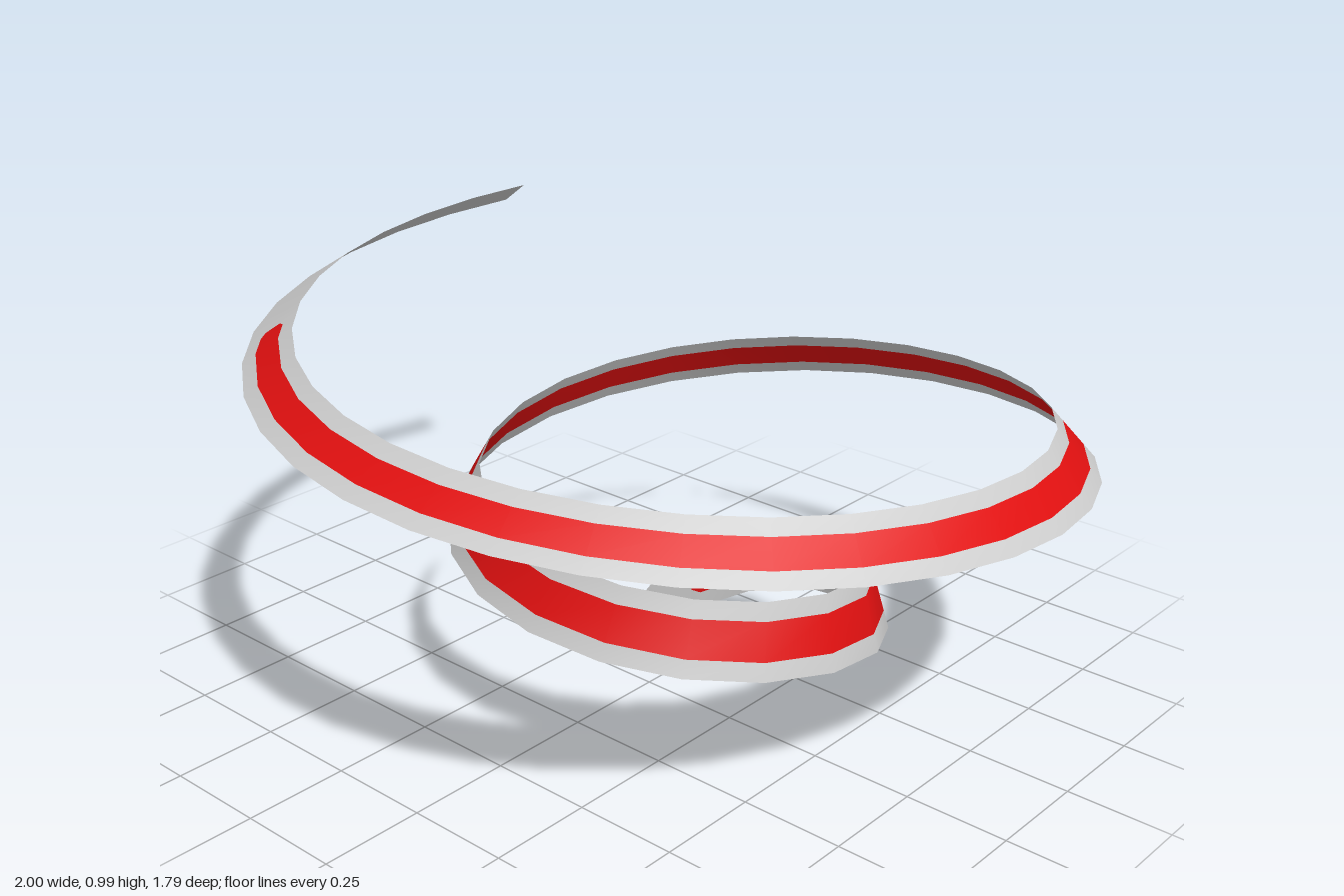
import * as THREE from 'three';

const SEGMENTS = 50;
const PITCH = 0.415 / (2 * Math.PI); // radius gained per radian
const R_START = 0.201, R_END = 1.069;
const STRIPE_START = 1.2, STRIPE_END = 43.6; // in segments along the ribbon
const lerp = THREE.MathUtils.lerp;

// Ribbon corner at segment joint i; v = 0 is the low outer edge, v = 1 the high inner edge
function joint(i, v) {
  const r = Math.sqrt(lerp(R_START ** 2, R_END ** 2, i / SEGMENTS)); // equal arc lengths
  const t = (r - R_START) / (R_END - R_START);
  const phi = (r - 0.216) / PITCH;
  const tilt = THREE.MathUtils.degToRad(lerp(6, 60, t));
  const width = lerp(0.186, 0.136, t);
  const k = 0.5 - v;
  const radius = r + k * width * Math.sin(tilt);
  const skew = k * 0.026 * (1 - t); // cross-section leans back along the climb
  return new THREE.Vector3(
    0.11 - radius * Math.cos(phi) + skew * Math.sin(phi),
    lerp(0.097, 0.956, t) - k * width * Math.cos(tilt),
    -0.105 - radius * Math.sin(phi) - skew * Math.cos(phi)
  );
}

// Point on the faceted ribbon at any position u along it
function ribbonPoint(u, v) {
  const i = Math.min(Math.floor(u), SEGMENTS - 1);
  return joint(i, v).lerp(joint(i + 1, v), u - i);
}

// Strip of ribbon between two edges given as functions of u
function strip(name, u0, u1, low, high, material) {
  const stops = [u0];
  if (u0 === STRIPE_START) stops.push(u0 + 0.12);
  for (let i = Math.floor(u0) + 1; i < u1; i++) stops.push(i);
  if (u1 === STRIPE_END) stops.push(u1 - 0.12);
  stops.push(u1);
  stops.sort((a, b) => a - b);

  const positions = [], index = [];
  stops.forEach((u, n) => {
    positions.push(...ribbonPoint(u, low(u)).toArray(), ...ribbonPoint(u, high(u)).toArray());
    if (n > 0) {
      const a = 2 * n - 2;
      index.push(a, a + 1, a + 2, a + 1, a + 3, a + 2);
    }
  });
  const geometry = new THREE.BufferGeometry();
  geometry.setAttribute('position', new THREE.Float32BufferAttribute(positions, 3));
  geometry.setIndex(index);
  geometry.computeVertexNormals();
  const mesh = new THREE.Mesh(geometry, material);
  mesh.name = name;
  return mesh;
}

export function createModel() {
  const grey = new THREE.MeshStandardMaterial({ color: 0xcccccc, side: THREE.DoubleSide });
  grey.name = 'light grey';
  const red = new THREE.MeshStandardMaterial({ color: 0xe01010, side: THREE.DoubleSide });
  red.name = 'red';

  // Half width of the stripe, with clipped corners at both ends
  const half = (u) => {
    const toEnd = Math.min(u - STRIPE_START, STRIPE_END - u);
    return lerp(0.26, 0.22, u / SEGMENTS) * lerp(0.65, 1, Math.min(toEnd / 0.12, 1));
  };
  const bottom = () => 0, top = () => 1;
  const stripeLow = (u) => 0.5 - half(u), stripeHigh = (u) => 0.5 + half(u);

  const model = new THREE.Group();
  model.name = 'spiralRibbon';
  model.add(
    strip('lowerTail', 0, STRIPE_START, bottom, top, grey),
    strip('outerBorder', STRIPE_START, STRIPE_END, bottom, stripeLow, grey),
    strip('centreStripe', STRIPE_START, STRIPE_END, stripeLow, stripeHigh, red),
    strip('innerBorder', STRIPE_START, STRIPE_END, stripeHigh, top, grey),
    strip('upperTail', STRIPE_END, SEGMENTS, bottom, top, grey)
  );
  return model;
}
